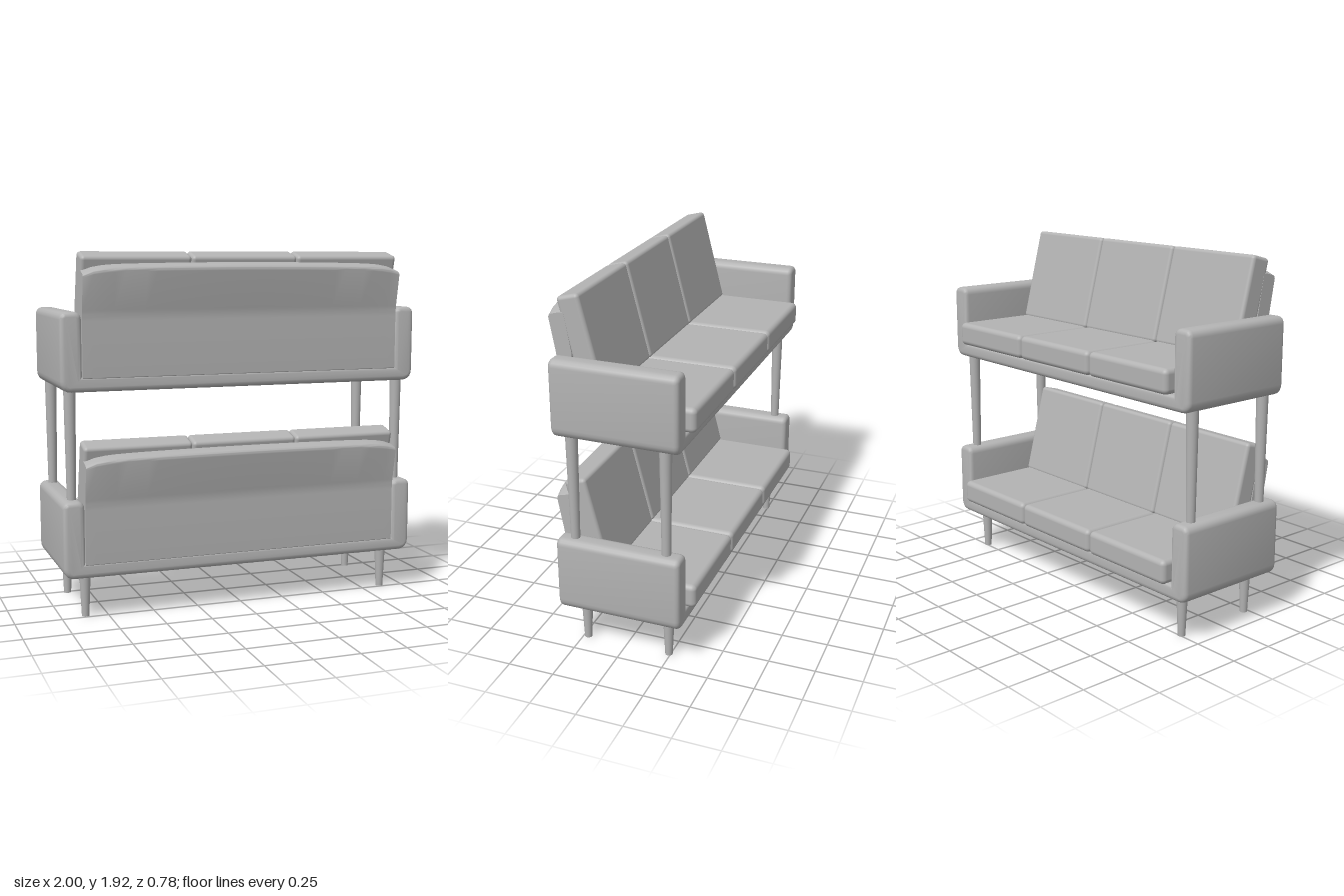
import * as THREE from 'three';
import { toCreasedNormals } from 'three/addons/utils/BufferGeometryUtils.js';
import { RoundedBoxGeometry } from 'three/addons/geometries/RoundedBoxGeometry.js';

const grey = new THREE.MeshStandardMaterial({ color: 0xb3b3b3 });
grey.name = 'grey upholstery';

function add(parent, name, geometry, x = 0, y = 0, z = 0) {
  const mesh = new THREE.Mesh(geometry, grey);
  mesh.name = name;
  mesh.position.set(x, y, z);
  parent.add(mesh);
  return mesh;
}

// Closed outline with each corner [x, y, radius] rounded
function roundedShape(corners) {
  const shape = new THREE.Shape();
  const n = corners.length;
  corners.forEach(([x, y, r], i) => {
    const p = new THREE.Vector2(x, y);
    const toward = ([a, b]) => new THREE.Vector2(a, b).sub(p).setLength(r).add(p);
    const a = toward(corners[(i + n - 1) % n]);
    const b = toward(corners[(i + 1) % n]);
    if (i === 0) shape.moveTo(a.x, a.y);
    else shape.lineTo(a.x, a.y);
    shape.quadraticCurveTo(x, y, b.x, b.y);
  });
  shape.closePath();
  return shape;
}

// U-shaped shell: floor and both arms in one piece
function frameGeometry() {
  const b = 0.025;
  const o = 1 - b, i = 0.885 + b, top = 0.64 - b, low = 0.23 + b, deck = 0.31 - b;
  const shape = roundedShape([
    [-o, low, 0.035], [o, low, 0.035], [o, top, 0.015], [i, top, 0.015],
    [i, deck, 0.005], [-i, deck, 0.005], [-i, top, 0.015], [-o, top, 0.015],
  ]);
  const g = new THREE.ExtrudeGeometry(shape, {
    depth: 0.675 - 2 * b, bevelSize: b, bevelThickness: b, bevelSegments: 4, curveSegments: 5,
  });
  g.translate(0, 0, -0.345 + b);
  return toCreasedNormals(g, 0.7);
}

// Leaning backrest, its side profile swept across and softened to the ends
function backrestGeometry() {
  const shape = roundedShape([
    [-0.25, 0.3, 0.004], [-0.33, 0.3, 0.004], [-0.33, 0.62, 0.03],
    [-0.392, 0.868, 0.022], [-0.312, 0.893, 0.022], [-0.25, 0.64, 0.02],
  ]);
  const g = new THREE.ExtrudeGeometry(shape, {
    depth: 1.77, steps: 32, bevelEnabled: false, curveSegments: 6,
  });
  g.translate(0, 0, -0.885);
  g.rotateY(Math.PI / 2);
  // the sweep now runs along x and the profile's -x has become +z
  const p = g.attributes.position;
  for (let k = 0; k < p.count; k++) {
    const t = Math.abs(p.getX(k)) / 0.885;
    const rise = Math.max(0, (p.getY(k) - 0.62) / 0.27);
    p.setY(k, p.getY(k) - rise * (0.012 * t ** 2 + 0.03 * t ** 14));
    p.setZ(k, p.getZ(k) - rise * (0.01 * t ** 2 + 0.015 * t ** 10));
  }
  return toCreasedNormals(g, 0.7);
}

const frame = frameGeometry();
const backrest = backrestGeometry();
const seatCushion = new RoundedBoxGeometry(0.588, 0.13, 0.56, 4, 0.028);
const backCushion = new RoundedBoxGeometry(0.588, 0.53, 0.12, 4, 0.02);

function createSofa(name, y) {
  const sofa = new THREE.Group();
  sofa.name = name;
  sofa.position.y = y;
  add(sofa, 'armFrame', frame);
  add(sofa, 'backrest', backrest);
  for (const x of [-0.59, 0, 0.59]) {
    add(sofa, 'seatCushion', seatCushion, x, 0.378, -0.11);
    add(sofa, 'backCushion', backCushion, x, 0.676, 0.203).rotation.x = 0.253;
  }
  return sofa;
}

// Four tapered legs between two heights
function addLegs(parent, name, x, zs, y0, y1, rTop, rBottom) {
  const g = new THREE.CylinderGeometry(rTop, rBottom, y1 - y0, 20);
  for (const sx of [-1, 1]) for (const z of zs) add(parent, name, g, sx * x, (y0 + y1) / 2, z);
}

export function createModel() {
  const model = new THREE.Group();
  model.name = 'stackedSofas';
  model.add(createSofa('lowerSofa', 0), createSofa('upperSofa', 0.977));
  addLegs(model, 'shortLeg', 0.87, [0.225, -0.24], 0, 0.245, 0.031, 0.02);
  addLegs(model, 'tallLeg', 0.938, [0.243, -0.257], 0.63, 1.22, 0.032, 0.024);
  return model;
}
